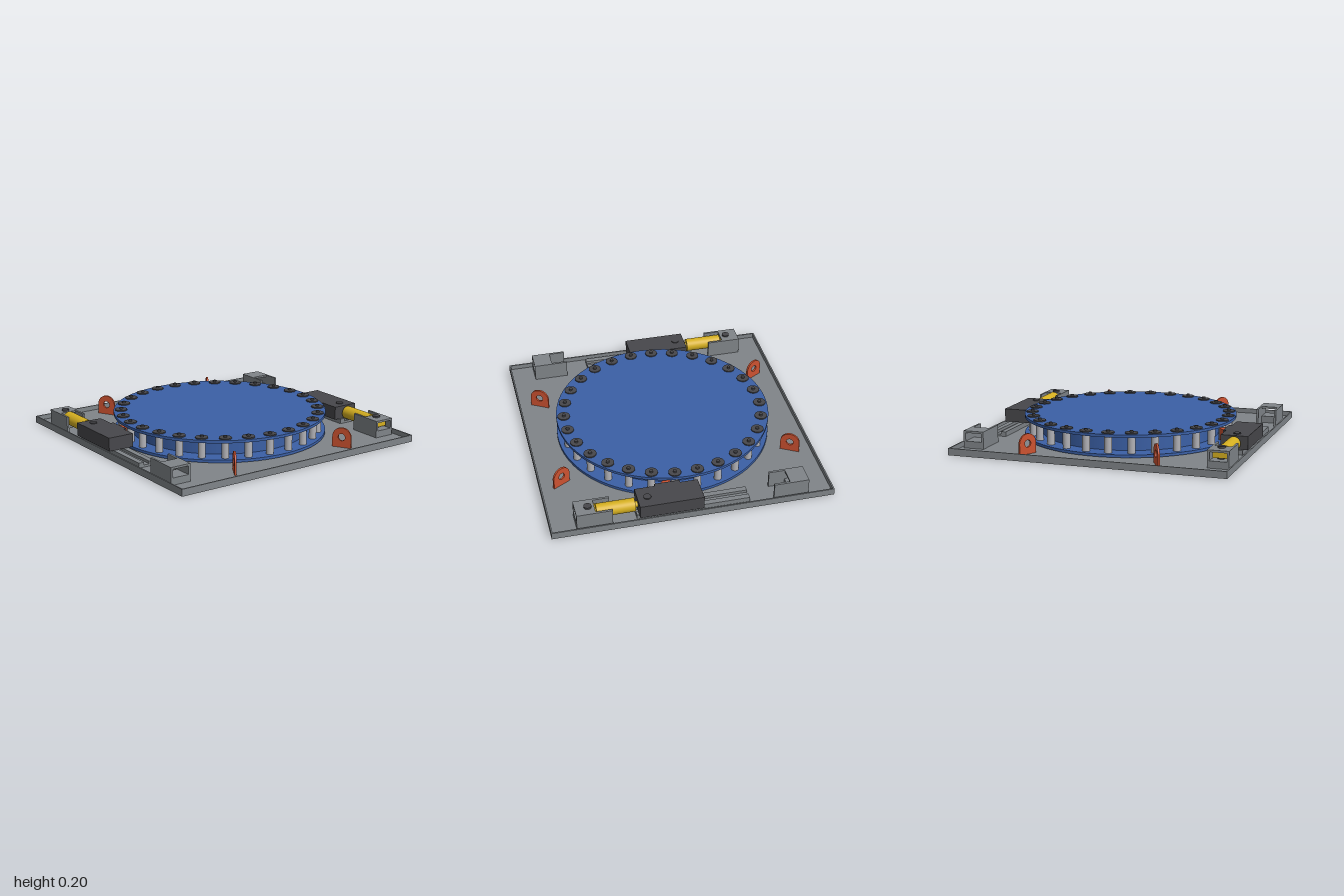
import * as THREE from 'three';

const mat = (name, color) => {
  const m = new THREE.MeshStandardMaterial({ color });
  m.name = name;
  return m;
};

export function createModel() {
  const root = new THREE.Group();
  root.name = 'indexingTurntable';
  const grey = mat('base grey', 0x808589);
  const dark = mat('dark steel', 0x47474b);
  const blue = mat('turntable blue', 0x3b60a6);
  const silver = mat('pin silver', 0xb2b2b7);
  const gold = mat('cylinder yellow', 0xd6b021);
  const orange = mat('lug orange', 0xcc5230);

  const add = (parent, name, geo, material, x = 0, y = 0, z = 0) => {
    const m = new THREE.Mesh(geo, material);
    m.name = name;
    m.position.set(x, y, z);
    parent.add(m);
    return m;
  };
  // box given by its limits on each axis
  const box = (parent, name, material, [x0, x1], [y0, y1], [z0, z1]) =>
    add(parent, name, new THREE.BoxGeometry(x1 - x0, y1 - y0, z1 - z0), material,
      (x0 + x1) / 2, (y0 + y1) / 2, (z0 + z1) / 2);
  // upright cylinder from y0 to y1
  const disc = (parent, name, material, r, y0, y1, x = 0, z = 0, seg = 24) =>
    add(parent, name, new THREE.CylinderGeometry(r, r, y1 - y0, seg), material, x, (y0 + y1) / 2, z);
  const rect = (Type, w, h) => new Type([
    new THREE.Vector2(-w, -h), new THREE.Vector2(w, -h), new THREE.Vector2(w, h), new THREE.Vector2(-w, h)]);
  const extrude = (shape, depth) =>
    new THREE.ExtrudeGeometry(shape, { depth, bevelEnabled: false, curveSegments: 24 });

  // Tray: floor with a centre hole and a thin raised rim
  const FLOOR = 0.015, RIM = 0.05;
  const floorShape = rect(THREE.Shape, 1, 1);
  floorShape.holes.push(new THREE.Path().absarc(0, 0, 0.04, 0, Math.PI * 2, true));
  add(root, 'trayFloor', extrude(floorShape, FLOOR).rotateX(-Math.PI / 2), grey);
  const rimShape = rect(THREE.Shape, 1, 1);
  rimShape.holes.push(rect(THREE.Path, 0.99, 0.99));
  add(root, 'trayRim', extrude(rimShape, RIM - FLOOR).rotateX(-Math.PI / 2), grey, 0, FLOOR, 0);
  disc(root, 'centreAxle', dark, 0.038, 0.008, 0.03);

  // Turntable: two flanges around a drum
  const table = new THREE.Group();
  table.name = 'turntable';
  root.add(table);
  disc(table, 'lowerFlange', blue, 0.78, 0.02, 0.04, 0, 0, 96);
  disc(table, 'drum', blue, 0.65, 0.04, 0.16, 0, 0, 96);
  disc(table, 'upperFlange', blue, 0.78, 0.16, 0.18, 0, 0, 96);

  // Ring of drive pins with washers and bolt heads
  const COUNT = 28;
  for (let i = 0; i < COUNT; i++) {
    const a = ((i + 0.5) / COUNT) * Math.PI * 2;
    const x = 0.725 * Math.cos(a), z = 0.725 * Math.sin(a);
    disc(table, 'drivePin', silver, 0.027, 0.04, 0.16, x, z, 20);
    disc(table, 'pinWasher', dark, 0.045, 0.18, 0.188, x, z);
    disc(table, 'pinBolt', dark, 0.013, 0.188, 0.2, x, z, 12);
  }

  // Lifting lugs: rounded plates with an eye, set radially
  const lugShape = new THREE.Shape();
  lugShape.moveTo(-0.07, FLOOR);
  lugShape.lineTo(0.07, FLOOR);
  lugShape.lineTo(0.07, 0.09);
  lugShape.absarc(0, 0.09, 0.07, 0, Math.PI, false);
  lugShape.closePath();
  lugShape.holes.push(new THREE.Path().absarc(0, 0.09, 0.026, 0, Math.PI * 2, true));
  const lugGeo = extrude(lugShape, 0.014).translate(0, 0, -0.007);
  for (const sx of [1, -1]) for (const sz of [1, -1]) {
    const lug = add(root, 'liftingLug', lugGeo, orange, sx * 0.47, 0, sz * 0.84);
    lug.rotation.y = -sx * sz * Math.PI / 3;
  }

  // Clevis bracket opening towards -z, with a window through its end block
  const X = 0.89;
  const bracket = (parent, s) => {
    const g = new THREE.Group();
    g.name = 'cylinderBracket';
    const z = (a, b) => (s > 0 ? [a, b] : [-b, -a]);
    for (const side of [1, -1]) {
      const x = X + side * 0.068;
      box(g, 'bracketCheek', grey, [x - 0.008, x + 0.008], [FLOOR, 0.14], z(0.57, 0.82));
    }
    box(g, 'bracketTop', grey, [X - 0.06, X + 0.06], [0.125, 0.14], z(0.685, 0.82));
    box(g, 'bracketFoot', grey, [X - 0.06, X + 0.06], [FLOOR, 0.065], z(0.685, 0.82));
    parent.add(g);
  };

  // Drive unit, repeated on the opposite side by a half turn
  for (const turn of [0, Math.PI]) {
    const unit = new THREE.Group();
    unit.name = 'driveUnit';
    unit.rotation.y = turn;
    root.add(unit);
    bracket(unit, 1);
    bracket(unit, -1);

    // guide rail with a centre groove
    box(unit, 'railBed', grey, [0.83, 0.95], [FLOOR, 0.03], [-0.4, 0.4]);
    box(unit, 'railInner', grey, [0.83, 0.87], [0.03, 0.05], [-0.4, 0.4]);
    box(unit, 'railOuter', grey, [0.91, 0.95], [0.03, 0.05], [-0.4, 0.4]);

    // sliding carriage with its pawl
    box(unit, 'carriage', dark, [0.79, 0.985], [0.05, 0.147], [-0.065, 0.385]);
    box(unit, 'pawlGuide', dark, [0.768, 0.79], [0.05, 0.147], [0.06, 0.24]);
    const pawl = new THREE.Shape([
      new THREE.Vector2(0.79, -0.12), new THREE.Vector2(0.72, -0.12),
      new THREE.Vector2(0.72, -0.15), new THREE.Vector2(0.79, -0.23)].reverse());
    add(unit, 'pawl', extrude(pawl, 0.085).rotateX(-Math.PI / 2), orange, 0, 0.053, 0);
    disc(unit, 'carriagePin', dark, 0.027, 0.14, 0.154, X, 0.315);

    // push cylinder, rod and rear pin
    const rod = (name, r, z0, z1) => add(unit, name,
      new THREE.CylinderGeometry(r, r, z1 - z0, 32).rotateX(Math.PI / 2), gold, X, 0.097, (z0 + z1) / 2);
    rod('cylinderBody', 0.048, 0.405, 0.675);
    rod('cylinderRod', 0.021, 0.38, 0.41);
    box(unit, 'cylinderEye', gold, [X - 0.05, X + 0.05], [0.078, 0.116], [0.67, 0.78]);
    disc(unit, 'rearPin', dark, 0.027, 0.05, 0.152, X, 0.73);
  }
  return root;
}
